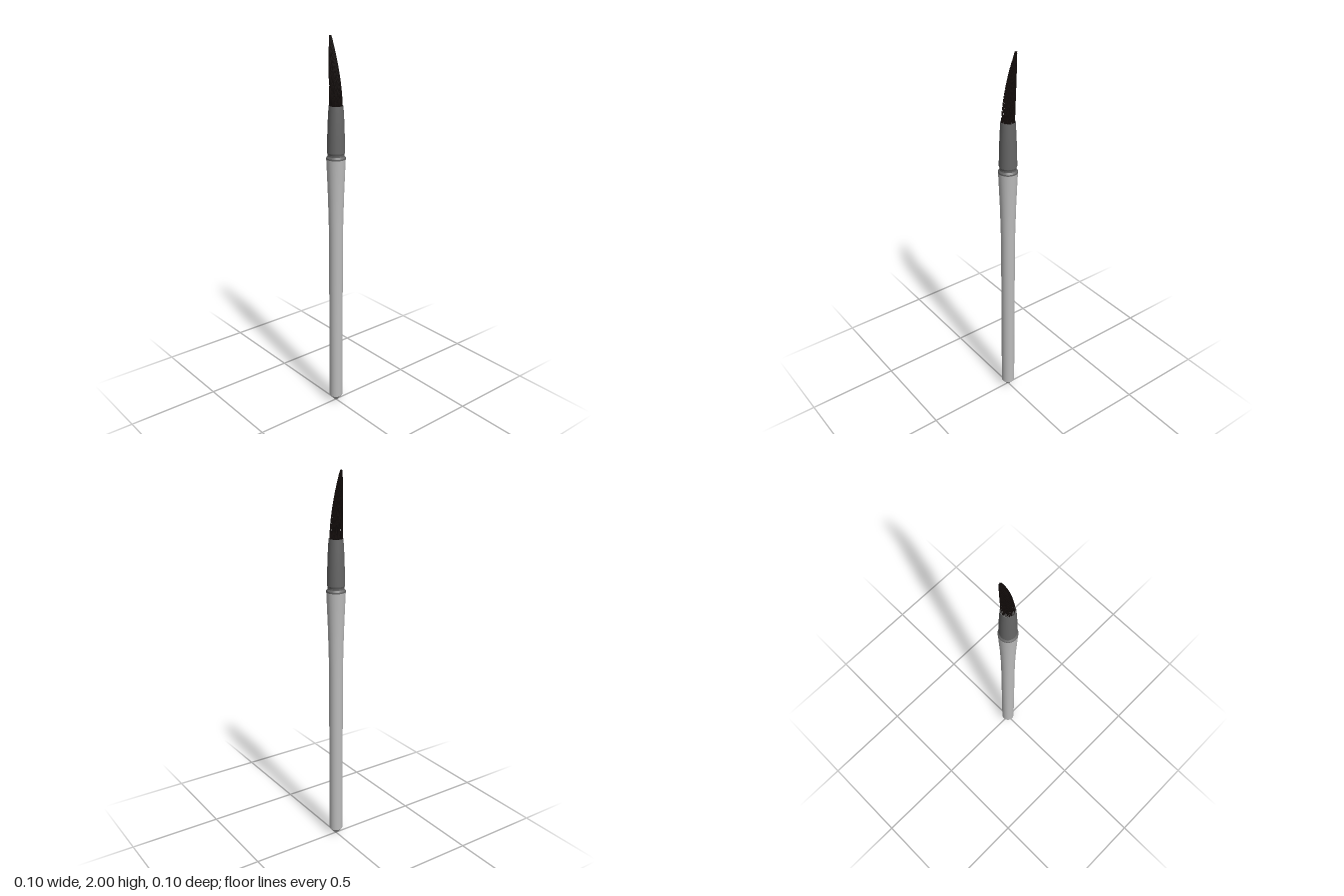
import * as THREE from 'three';
import { mergeGeometries } from 'three/addons/utils/BufferGeometryUtils.js';

const mat = (name, color) => new THREE.MeshStandardMaterial({ name, color });

// Each section is its own lathe, so edges between sections stay sharp.
function turned(name, material, sections, sides = 20) {
  const group = new THREE.Group();
  group.name = name;
  sections.forEach((section, i) => {
    const points = section.map(([r, y]) => new THREE.Vector2(r, y));
    const mesh = new THREE.Mesh(new THREE.LatheGeometry(points, sides), material);
    mesh.name = `${name}Section${i + 1}`;
    group.add(mesh);
  });
  return group;
}

// One hair: follows the tapering, backward-bending envelope of the tuft.
function hair(angle, spread, reach) {
  const base = 1.65, height = 0.349;
  const points = [];
  for (let i = 0; i <= 6; i++) {
    const t = (i / 6) * reach;
    const r = 0.033 * spread * (1 - 0.83 * Math.pow(t, 1.9));
    points.push(new THREE.Vector3(
      Math.cos(angle) * r,
      base + height * t,
      Math.sin(angle) * r - 0.045 * Math.pow(t, 1.6)
    ));
  }
  return new THREE.TubeGeometry(new THREE.CatmullRomCurve3(points), 8, 0.0012, 4);
}

export function createModel() {
  const handleGrey = mat('handle grey', 0xbcbcbc);
  const ferruleGrey = mat('ferrule dark grey', 0x666666);
  const bristleBlack = mat('bristle black', 0x140d0b);

  const model = new THREE.Group();
  model.name = 'paintbrush';

  // Handle: pointed end, straight shaft, flared grip
  model.add(turned('handle', handleGrey, [
    [[0, 0], [0.009, 0.003]],
    [[0.009, 0.003], [0.036, 0.036]],
    [[0.036, 0.036], [0.036, 0.5], [0.0362, 1.0], [0.041, 1.2], [0.046, 1.33], [0.049, 1.4]],
  ]));

  // Ferrule: collar, groove, tapering sleeve and recessed mouth
  model.add(turned('ferrule', ferruleGrey, [
    [[0.049, 1.4], [0.049, 1.408]],
    [[0.049, 1.408], [0.042, 1.416]],
    [[0.042, 1.416], [0.042, 1.424]],
    [[0.042, 1.424], [0.0455, 1.434]],
    [[0.0455, 1.434], [0.0435, 1.52], [0.0405, 1.6], [0.0365, 1.668]],
    [[0.0365, 1.668], [0.0345, 1.668]],
    [[0.0345, 1.668], [0.0345, 1.655]],
    [[0.0345, 1.655], [0, 1.655]],
  ]));

  // Bristles: hairs spread over the mouth in a spiral, the outer ones shorter
  const count = 130, hairs = [];
  for (let i = 0; i < count; i++) {
    const spread = Math.sqrt((i + 0.5) / count);
    const reach = 1 - 0.22 * spread * ((i * 7) % 11) / 10;
    hairs.push(hair(i * 2.39996, spread, reach));
  }
  const bristles = new THREE.Mesh(mergeGeometries(hairs), bristleBlack);
  bristles.name = 'bristles';
  model.add(bristles);

  return model;
}
